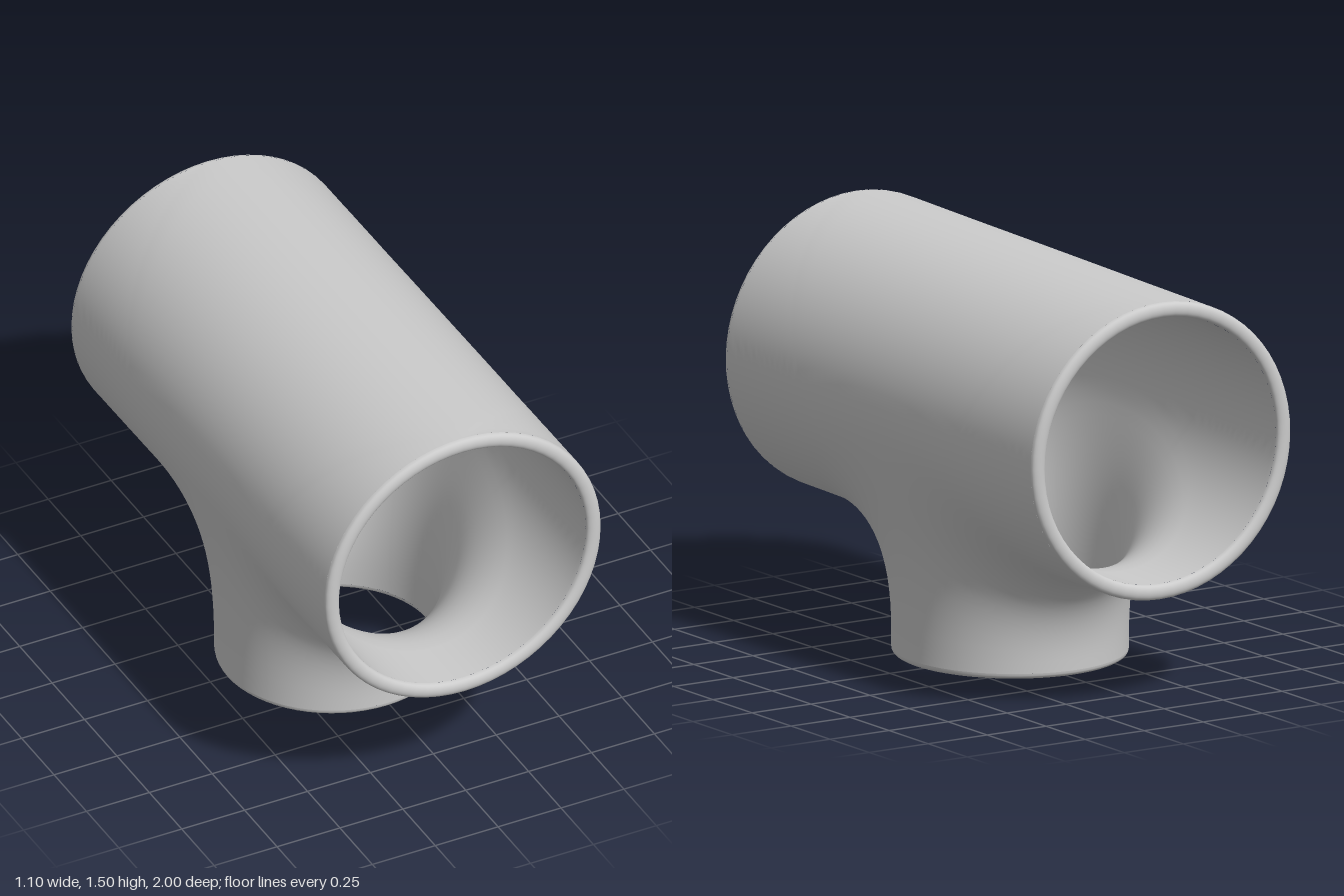
import * as THREE from 'three';
import { mergeVertices } from 'three/addons/utils/BufferGeometryUtils.js';

const AXIS_Y = 0.948, HALF_LENGTH = 0.972, WIDEN = 1.015, TILT = 0.0165;
const MAIN = { outer: 0.54, inner: 0.485 };
const BRANCH = { outer: 0.42, inner: 0.368, x: -0.025, z: 0.01, y: 0.03 };
const HOLE = { phi: 1.35, z: 0.74, cz: 0.01 };

// Point on the main pipe; phi is measured from straight down
const onMain = (R, phi, z) =>
  new THREE.Vector3(R * WIDEN * Math.sin(phi), AXIS_Y - R * Math.cos(phi), z);

// Outline of the unrolled main pipe, as [phi, z] pairs in order
function unrolledBorder() {
  const corners = [[1, -1], [1, 1], [-1, 1], [-1, -1]];
  const border = [];
  corners.forEach((c, k) => {
    const d = corners[(k + 1) % 4];
    const n = k % 2 ? 56 : 24;
    for (let i = 0; i < n; i++) {
      const t = i / n;
      border.push([
        Math.PI * (c[0] + (d[0] - c[0]) * t),
        HALF_LENGTH * (c[1] + (d[1] - c[1]) * t)
      ]);
    }
  });
  return border;
}

// Branch wall, swept fillet and main pipe wall as one continuous skin
function teeSkin(R, r, inward) {
  const FILLET = 16, WALL = 20;
  const columns = unrolledBorder().map(([phi, z]) => {
    const a = Math.atan2((z - HOLE.cz) / HOLE.z, phi / HOLE.phi);
    const c = Math.cos(a), s = Math.sin(a);
    const hp = HOLE.phi * c, hz = HOLE.cz + HOLE.z * s;
    const low = new THREE.Vector3(BRANCH.x + r * c, BRANCH.y, BRANCH.z + r * s);
    const p0 = low.clone().setY(0.07);
    const p3 = onMain(R, hp, hz);
    const p1 = p0.clone().setY(p0.y + 0.5 * (p3.y - p0.y));
    const pull = new THREE.Vector3(-c * Math.cos(hp), -c * Math.sin(hp), -s);
    const p2 = p3.clone().addScaledVector(pull, 0.25);
    const column = [low, ...new THREE.CubicBezierCurve3(p0, p1, p2, p3).getPoints(FILLET)];
    for (let j = 1; j <= WALL; j++) {
      const t = j / WALL;
      column.push(onMain(R, hp + (phi - hp) * t, hz + (z - hz) * t));
    }
    return column;
  });

  const rows = columns[0].length, index = [];
  columns.forEach((_, i) => {
    const next = (i + 1) % columns.length;
    for (let j = 0; j < rows - 1; j++) {
      const a = i * rows + j, b = a + 1, c = next * rows + j, d = c + 1;
      if (inward) index.push(a, c, b, b, c, d);
      else index.push(a, b, c, b, d, c);
    }
  });
  const geometry = new THREE.BufferGeometry().setFromPoints(columns.flat());
  geometry.setIndex(index);
  const welded = mergeVertices(geometry, 1e-4);
  welded.computeVertexNormals();
  return welded;
}

// Rounded lip closing the wall between two radii
function lip(outer, inner) {
  const mid = (outer + inner) / 2, half = (outer - inner) / 2;
  const profile = [];
  for (let i = 0; i <= 12; i++) {
    const t = Math.PI * i / 12;
    const bulge = Math.pow(Math.max(0, Math.sin(t)), 0.8);
    profile.push(new THREE.Vector2(mid + half * Math.cos(t), 0.022 * bulge));
  }
  return new THREE.LatheGeometry(profile, 64);
}

export function createModel() {
  const group = new THREE.Group();
  group.name = 'pipeTee';
  const material = new THREE.MeshStandardMaterial({ color: 0xcccccc });
  const add = (name, geometry) => {
    const mesh = new THREE.Mesh(geometry, material);
    mesh.name = name;
    group.add(mesh);
    return mesh;
  };

  add('outerWall', teeSkin(MAIN.outer, BRANCH.outer, false));
  add('innerWall', teeSkin(MAIN.inner, BRANCH.inner, true));

  // Lips at the two ends of the main pipe
  for (const [name, side] of [['frontLip', 1], ['backLip', -1]]) {
    const mesh = add(name, lip(MAIN.outer, MAIN.inner).rotateX(side * Math.PI / 2).scale(WIDEN, 1, 1));
    mesh.position.set(0, AXIS_Y, side * HALF_LENGTH);
  }
  // Lip at the foot of the branch
  const foot = add('branchLip', lip(BRANCH.outer, BRANCH.inner).rotateX(Math.PI));
  foot.position.set(BRANCH.x, BRANCH.y, BRANCH.z);

  // The whole fitting leans very slightly upwards at the front
  group.rotation.x = -TILT;
  group.position.set(0, 0.003, 0.015);
  return group;
}
